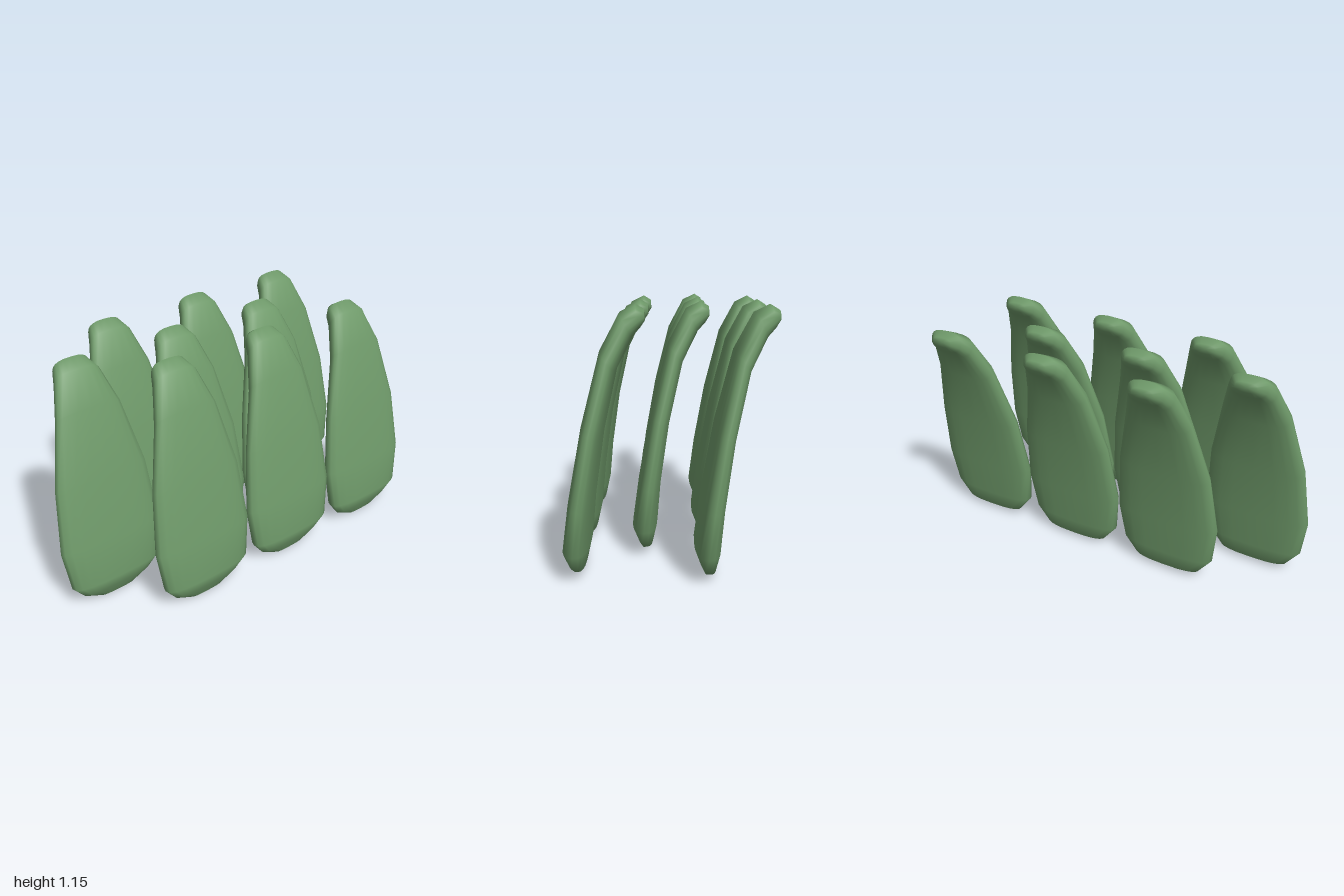
import * as THREE from 'three';

// Slat sections from foot to tip: front z, front y, back z, back y, half width
const SECTIONS = [
  [0.415, 0.004, 0.395, 0.01, 0.09],
  [0.437, 0.06, 0.365, 0.03, 0.18],
  [0.46, 0.123, 0.345, 0.12, 0.243],
  [0.432, 0.33, 0.329, 0.31, 0.27],
  [0.375, 0.645, 0.288, 0.6, 0.24],
  [0.295, 0.965, 0.226, 0.88, 0.167],
  [0.212, 1.122, 0.157, 1.02, 0.115],
  [0.145, 1.155, 0.125, 1.055, 0.09],
  [0.108, 1.132, 0.105, 1.085, 0.055],
];
const SIDES = 20;

// Flattened, round-cornered sections lofted along the bent slat, closed at both ends
function slatGeometry() {
  const pos = [], index = [];
  const soft = (v) => Math.sign(v) * Math.abs(v) ** 0.75;
  for (const [fz, fy, bz, by, w] of SECTIONS) {
    for (let i = 0; i < SIDES; i++) {
      const a = (i / SIDES) * Math.PI * 2;
      const t = (soft(Math.sin(a)) + 1) / 2;
      pos.push(w * soft(Math.cos(a)), by + (fy - by) * t, bz + (fz - bz) * t);
    }
  }
  const last = SECTIONS.length - 1;
  const foot = pos.length / 3, tip = foot + 1;
  for (const s of [SECTIONS[0], SECTIONS[last]]) {
    pos.push(0, (s[1] + s[3]) / 2, (s[0] + s[2]) / 2);
  }
  for (let i = 0; i < SIDES; i++) {
    const n = (i + 1) % SIDES;
    for (let r = 0; r < last; r++) {
      const a = r * SIDES + i, b = r * SIDES + n;
      index.push(a, a + SIDES, b, b, a + SIDES, b + SIDES);
    }
    index.push(foot, i, n, tip, last * SIDES + n, last * SIDES + i);
  }
  const geo = new THREE.BufferGeometry();
  geo.setAttribute('position', new THREE.Float32BufferAttribute(pos, 3));
  geo.setIndex(index);
  geo.computeVertexNormals();
  return geo;
}

export function createModel() {
  const model = new THREE.Group();
  model.name = 'leafCluster';
  const geo = slatGeometry();
  const green = new THREE.MeshStandardMaterial({ color: 0x6f9a6a });

  // Three staggered rows of three leaves
  const rows = [
    { name: 'frontRow', x: 0.15, z: 0 },
    { name: 'middleRow', x: -0.18, z: -0.285 },
    { name: 'backRow', x: 0.175, z: -0.565 },
  ];
  for (const { name, x, z } of rows) {
    const row = new THREE.Group();
    row.name = name;
    row.position.set(x, 0, z);
    for (let i = -1; i <= 1; i++) {
      const leaf = new THREE.Mesh(geo, green);
      leaf.name = 'leaf';
      leaf.position.x = i * 0.55;
      row.add(leaf);
    }
    model.add(row);
  }
  return model;
}
